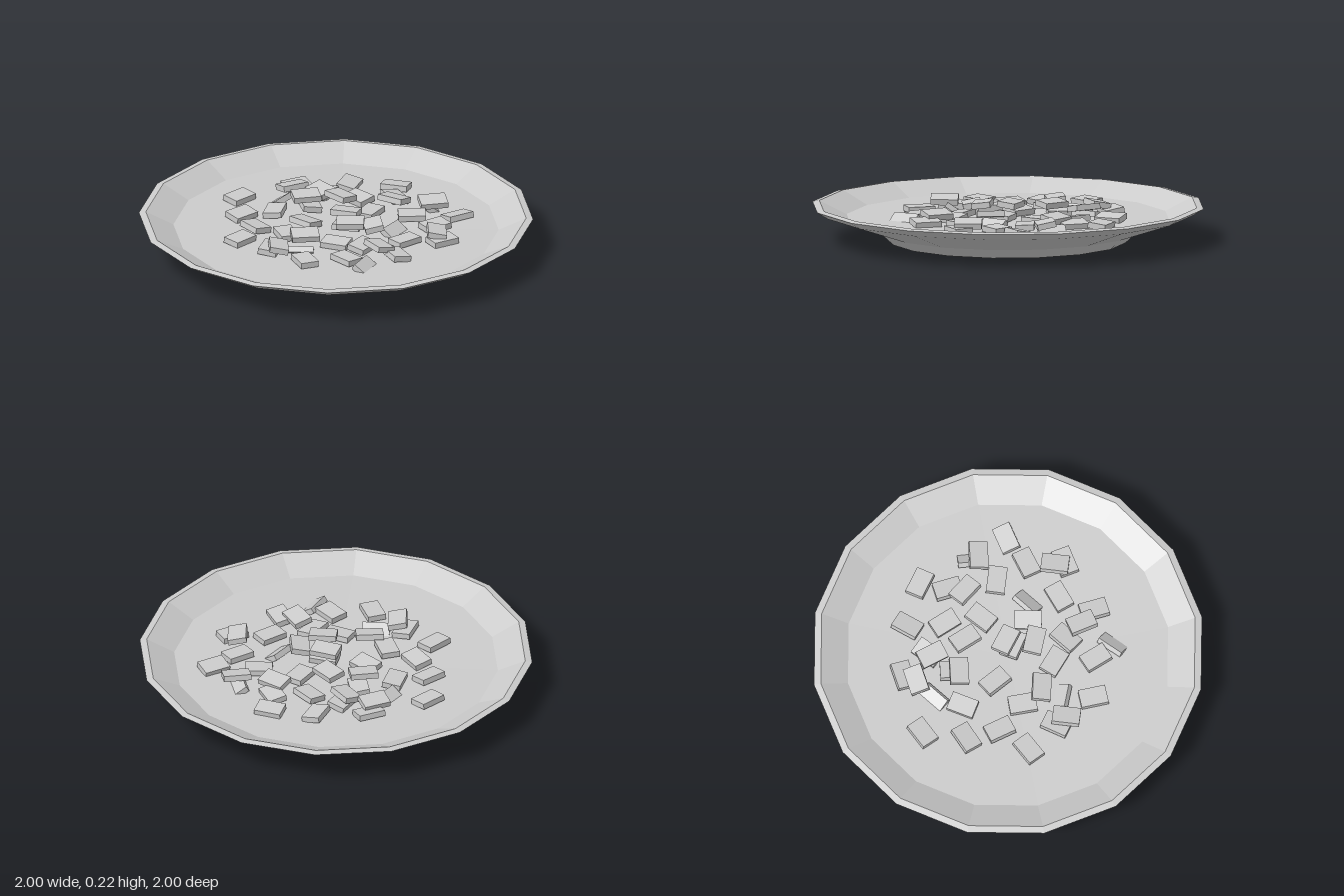
import * as THREE from 'three';

const grey = new THREE.MeshStandardMaterial({ color: 0xcccccc, flatShading: true });
const chipGeometry = new THREE.BoxGeometry(0.14, 0.03, 0.095);

// Sixteen-sided plate: foot, flared underside, narrow rim, sloped wall, shallow floor
function makePlate() {
  const profile = [
    [0, 0], [0.6, 0], [0.655, 0.05], [0.945, 0.147], [1, 0.181],
    [0.965, 0.187], [0.825, 0.12], [0, 0.108],
  ].map(([r, y]) => new THREE.Vector2(r, y));
  const geometry = new THREE.LatheGeometry(profile, 16).toNonIndexed();
  geometry.computeVertexNormals();
  const plate = new THREE.Mesh(geometry, grey);
  plate.name = 'plate';
  return plate;
}

// Seeded random numbers between -1 and 1
function makeRandom(seed) {
  let state = seed;
  return () => {
    state = (state * 16807) % 2147483647;
    return (state / 2147483647) * 2 - 1;
  };
}

function makeChip(name, x, y, z, heading, tilt) {
  const chip = new THREE.Mesh(chipGeometry, grey);
  chip.name = name;
  chip.position.set(x, y, z);
  chip.rotation.set(tilt, -heading, 0, 'YXZ');
  return chip;
}

// Upper chips: [x, z, heading in degrees]
const stackedChips = [
  [0, -0.4, -15], [0.16, -0.52, -60], [0.46, -0.27, 40], [-0.33, -0.2, 5],
  [-0.47, -0.13, -75], [0.18, -0.09, 35], [0.4, 0.07, 10], [0.04, 0.25, -55], [0.06, 0.45, 40],
];
const topChips = [[-0.15, -0.17, 0], [-0.27, -0.04, -60], [0.02, -0.05, -30], [0.14, 0.03, -45]];

export function createModel() {
  const model = new THREE.Group();
  model.name = 'plateOfChips';
  model.add(makePlate());

  const pile = new THREE.Group();
  pile.name = 'chipPile';
  const random = makeRandom(4211);

  // Chips on the floor, spread along a golden-angle spiral; every sixth is half sunk
  const count = 32;
  for (let i = 0; i < count; i++) {
    const r = 0.08 + 0.52 * Math.sqrt(i / count);
    const angle = i * 2.39996;
    const sunken = i % 6 === 5;
    pile.add(makeChip(
      sunken ? 'sunkenChip' : 'floorChip',
      r * Math.cos(angle) + 0.03 * random(), sunken ? 0.115 : 0.135, r * Math.sin(angle) - 0.03,
      Math.PI * random(), sunken ? 0.6 : 0.2 * random(),
    ));
  }

  // Chips resting on the others
  const addLayer = (name, chips, y, tilt) => chips.forEach(([x, z, heading], i) => {
    pile.add(makeChip(name, x, y, z, THREE.MathUtils.degToRad(heading), i % 2 ? tilt : -tilt));
  });
  addLayer('stackedChip', stackedChips, 0.163, 0.2);
  addLayer('topChip', topChips, 0.198, 0.12);

  model.add(pile);
  return model;
}
